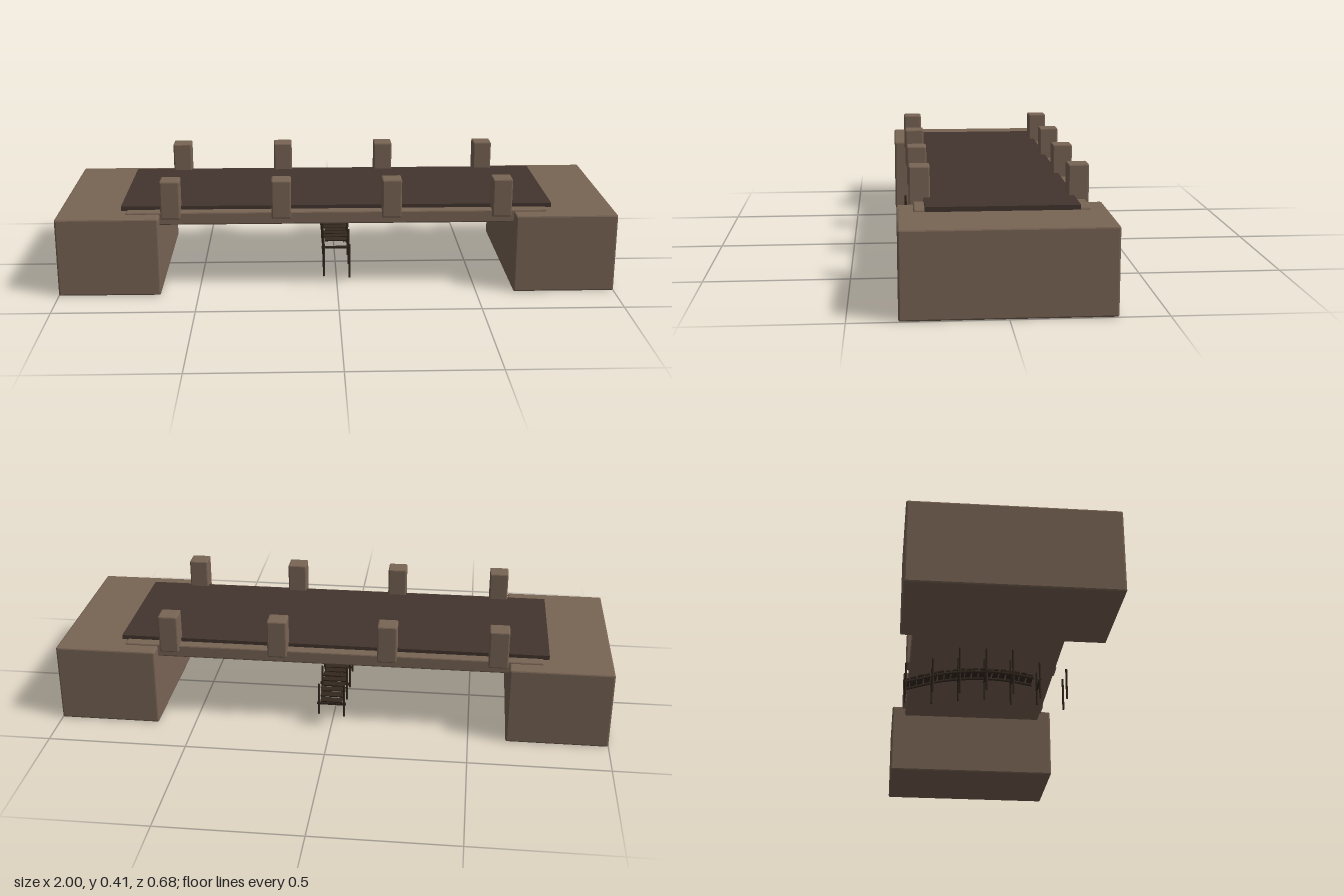
import * as THREE from 'three';
import { RoundedBoxGeometry } from 'three/addons/geometries/RoundedBoxGeometry.js';

export function createModel() {
  const model = new THREE.Group();
  model.name = 'bridge';
  const stone = new THREE.MeshStandardMaterial({ color: 0x786454 });
  stone.name = 'stone';
  const darkDeck = new THREE.MeshStandardMaterial({ color: 0x43352e });
  darkDeck.name = 'darkDeck';
  const oldWood = new THREE.MeshStandardMaterial({ color: 0x33281f });
  oldWood.name = 'oldWood';

  function add(parent, name, geometry, material, x, y, z) {
    const mesh = new THREE.Mesh(geometry, material);
    mesh.name = name;
    mesh.position.set(x, y, z);
    parent.add(mesh);
    return mesh;
  }

  // Box with chamfered edges and flat facets
  function chamferBox(w, h, d, r) {
    const rounded = new RoundedBoxGeometry(w, h, d, 1, r);
    const geometry = rounded.index ? rounded.toNonIndexed() : rounded;
    geometry.computeVertexNormals();
    return geometry;
  }

  // Abutments at both ends
  const abutment = chamferBox(0.365, 0.287, 0.68, 0.006);
  for (const side of [-1, 1]) add(model, 'abutment', abutment, stone, side * 0.8175, 0.1465, 0);

  // Span slab and the dark road surface on it
  add(model, 'spanSlab', chamferBox(1.51, 0.047, 0.572, 0.005), stone, 0, 0.2735, 0);
  add(model, 'roadSurface', new THREE.BoxGeometry(1.55, 0.016, 0.5), darkDeck, 0, 0.302, 0);

  // Parapet posts along both edges
  const post = chamferBox(0.07, 0.14, 0.07, 0.005);
  for (const x of [-0.595, -0.2, 0.195, 0.59]) {
    for (const side of [-1, 1]) add(model, 'parapetPost', post, stone, x, 0.344, side * 0.264);
  }

  // Broken wooden footbridge beneath the span
  const footbridge = new THREE.Group();
  footbridge.name = 'footbridge';
  model.add(footbridge);
  const walkHeight = z => 0.168 - 0.6 * z * z;

  // Slim piles in pairs, the middle ones reaching the slab
  for (let i = -3; i <= 3; i++) {
    const z = i * 0.101;
    const top = Math.abs(i) === 3 ? 0.178 : Math.abs(i) === 2 ? 0.2 : 0.25;
    for (const side of [-1, 1]) {
      const bottom = 0.045 + 0.012 * Math.abs((i * 2 + side) % 3) / 2 + (3 - Math.abs(i)) * 0.01;
      const pile = new THREE.CylinderGeometry(0.004, 0.004, top - bottom, 6);
      add(footbridge, 'pile', pile, oldWood, side * 0.046 - 0.003, (top + bottom) / 2, z);
    }
    // Cross beam tying each pair that still carries planks
    if (i < 3) add(footbridge, 'crossBeam', new THREE.BoxGeometry(0.105, 0.008, 0.008), oldWood, -0.003, walkHeight(z) - 0.012, z);
  }

  // Arched walkway of planks, missing at the front end
  for (let i = 0; i < 19; i++) {
    const z = -0.3 + i * 0.026;
    const plank = add(footbridge, 'plank', new THREE.BoxGeometry(0.08 + (i % 3) * 0.005, 0.005, 0.021), oldWood, -0.003, walkHeight(z), z);
    plank.rotation.x = Math.atan(1.2 * z);
    plank.rotation.y = ((i * 7) % 5 - 2) * 0.02;
  }

  // Stringers under the planks
  for (const side of [-1, 1]) {
    const points = [-0.305, -0.15, 0, 0.1, 0.18].map(z => new THREE.Vector3(side * 0.033 - 0.003, walkHeight(z) - 0.007, z));
    const stringer = new THREE.TubeGeometry(new THREE.CatmullRomCurve3(points), 16, 0.005, 6);
    add(footbridge, 'stringer', stringer, oldWood, 0, 0, 0);
  }
  return model;
}
